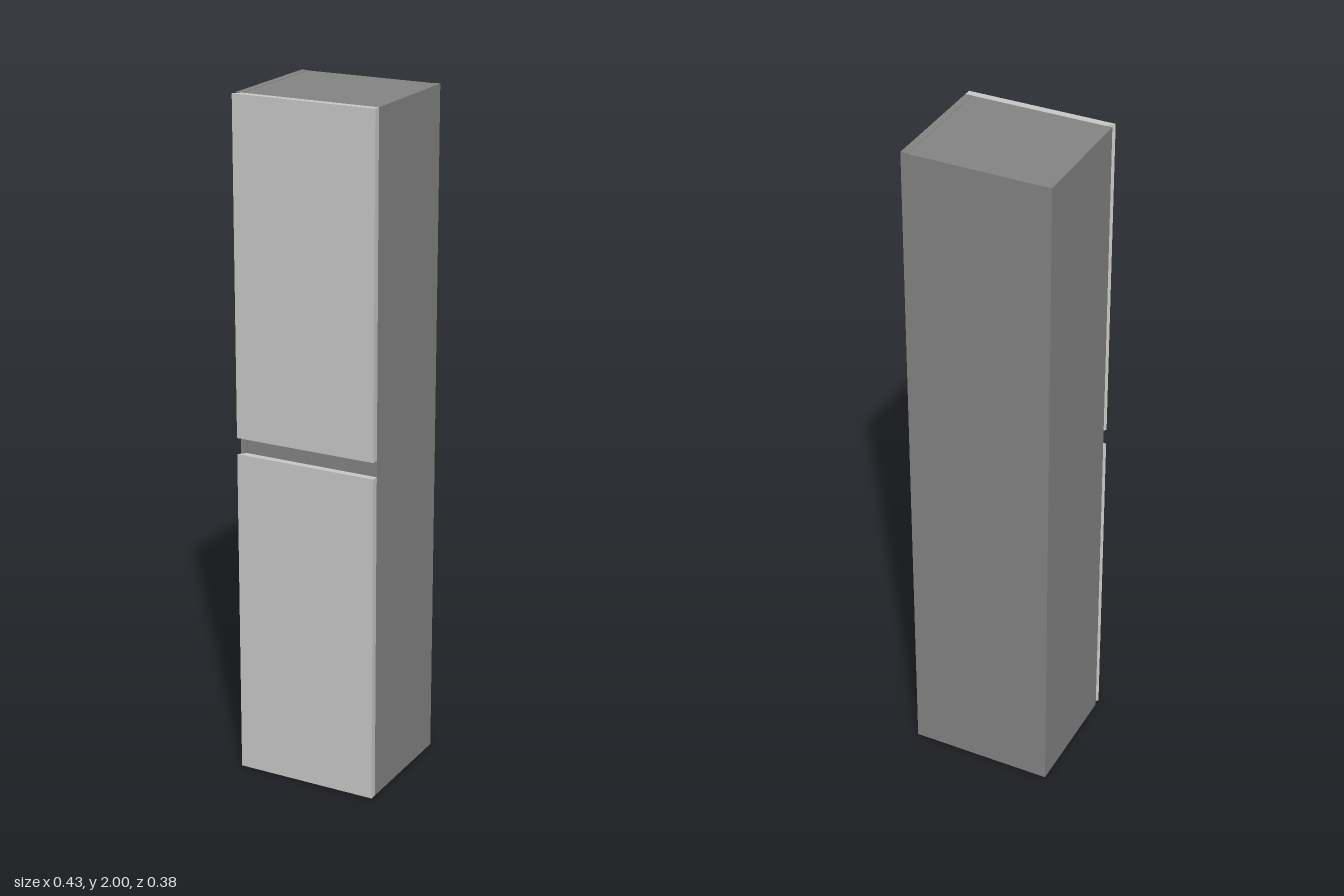
import * as THREE from 'three';

export function createModel() {
  const group = new THREE.Group();
  const bodyGrey = new THREE.MeshStandardMaterial({ color: 0x858585 });
  bodyGrey.name = 'bodyGrey';
  const doorGrey = new THREE.MeshStandardMaterial({ color: 0xc9c9c9 });
  doorGrey.name = 'doorGrey';

  const W = 0.215, T = 0.02, BACK = -0.194, FACE = 0.17, FRONT = 0.191, H = 2;

  // Box given by its minimum and maximum corners
  function panel(name, x0, x1, y0, y1, z0, z1) {
    const mesh = new THREE.Mesh(new THREE.BoxGeometry(x1 - x0, y1 - y0, z1 - z0), bodyGrey);
    mesh.position.set((x0 + x1) / 2, (y0 + y1) / 2, (z0 + z1) / 2);
    mesh.name = name;
    group.add(mesh);
  }

  // Carcass: sides, top, bottom, back
  const inner = W - T;
  for (const [side, s] of [['left', 1], ['right', -1]]) {
    const a = s * W, b = s * inner;
    panel(side + 'Side', Math.min(a, b), Math.max(a, b), 0, H, BACK, FACE);
    // Small hanging fitting let into the top edge of the side
    const c = s * 0.202;
    panel(side + 'HangingFitting', c - 0.008, c + 0.008, H - 0.02, H + 0.0005, -0.174, -0.167);
  }
  panel('topPanel', -inner, inner, H - T, H - 0.001, BACK, FACE);
  panel('bottomPanel', -inner, inner, 0, T, BACK, FACE);
  panel('backPanel', -inner, inner, T, H - T, BACK, BACK + 0.01);

  // Rail behind the grip gap between the doors
  panel('middleRail', -inner, inner, 0.94, 1.06, FACE - 0.025, FACE - 0.005);

  // Doors, with a mitred grip along the right edge
  const outline = new THREE.Shape([
    new THREE.Vector2(-W, -FRONT),
    new THREE.Vector2(W, -FRONT),
    new THREE.Vector2(W, -FACE),
    new THREE.Vector2(-inner, -FACE),
  ]);
  for (const [name, y0, y1] of [['lowerDoor', 0, 0.978], ['upperDoor', 1.026, H]]) {
    const geo = new THREE.ExtrudeGeometry(outline, { depth: y1 - y0, bevelEnabled: false });
    geo.rotateX(-Math.PI / 2);
    const door = new THREE.Mesh(geo, doorGrey);
    door.position.y = y0;
    door.name = name;
    group.add(door);
  }
  return group;
}
